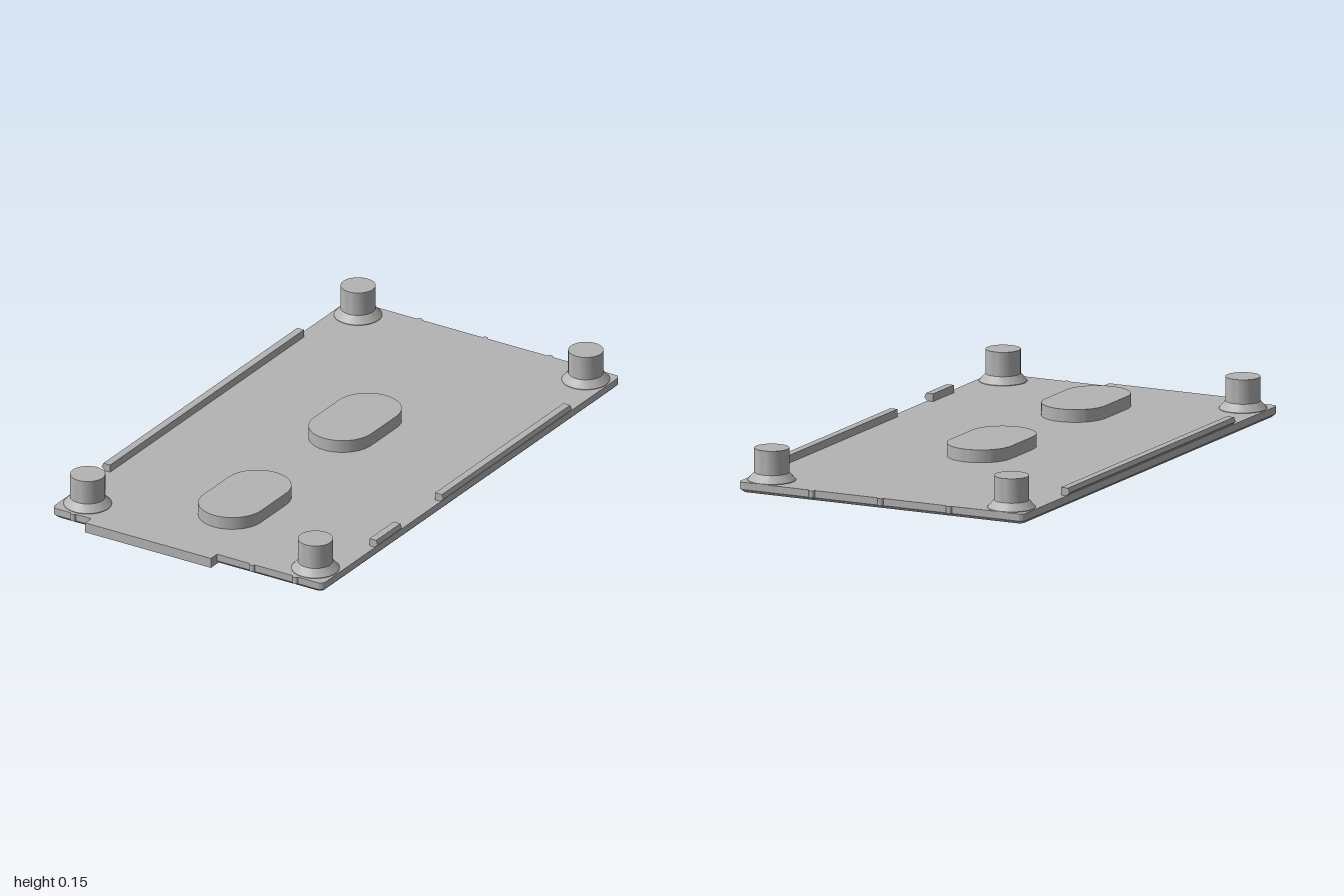
import * as THREE from 'three';
import { toCreasedNormals } from 'three/addons/utils/BufferGeometryUtils.js';

const PLATE_TOP = 0.037;
const CHAMFER = 0.011;

// Extrude an outline drawn in (x, -z) upward from y0 to y1
function slab(shape, y0, y1, steps = 1) {
  const g = new THREE.ExtrudeGeometry(shape, { depth: y1 - y0, steps, bevelEnabled: false, curveSegments: 20 });
  g.rotateX(-Math.PI / 2);
  g.translate(0, y0, 0);
  return g;
}

function roundedRect(x0, z0, x1, z1, r) {
  const s = new THREE.Shape();
  const b = -z1, t = -z0;
  s.absarc(x1 - r, t - r, r, 0, Math.PI / 2);
  s.absarc(x0 + r, t - r, r, Math.PI / 2, Math.PI);
  s.absarc(x0 + r, b + r, r, Math.PI, Math.PI * 1.5);
  s.absarc(x1 - r, b + r, r, Math.PI * 1.5, Math.PI * 2);
  s.closePath();
  return s;
}

// Stadium outline centred on z
function oval(z, halfWidth, halfLength) {
  const s = new THREE.Shape();
  const k = halfLength - halfWidth;
  s.absarc(0, -z + k, halfWidth, 0, Math.PI);
  s.absarc(0, -z - k, halfWidth, Math.PI, Math.PI * 2);
  s.closePath();
  return s;
}

// Round opening toward the front with a narrow slot toward the back
function keyhole(z) {
  const R = 0.088, w = 0.042, yc = -z - 0.075, ys = -z + 0.09;
  const a = Math.asin(w / R);
  const p = new THREE.Path();
  p.absarc(0, yc, R, Math.PI / 2 + a, Math.PI * 2.5 - a);
  p.lineTo(w, ys);
  p.absarc(0, ys, w, 0, Math.PI);
  p.closePath();
  return p;
}

export function createModel() {
  const model = new THREE.Group();
  model.name = 'mountingCover';
  const grey = new THREE.MeshStandardMaterial({ color: 0xb4b4b4 });
  grey.name = 'plainGrey';
  const add = (name, geometry, x = 0, y = 0, z = 0) => {
    const m = new THREE.Mesh(toCreasedNormals(geometry, 0.5), grey);
    m.name = name;
    m.position.set(x, y, z);
    model.add(m);
    return m;
  };
  const bosses = [-0.14, 0.582];

  // Base plate with keyholes and a chamfered lower edge
  const outline = roundedRect(-0.565, -0.99, 0.565, 0.96, 0.02);
  bosses.forEach((z) => outline.holes.push(keyhole(z)));
  const plate = slab(outline, 0, PLATE_TOP, 2);
  const p = plate.attributes.position;
  for (let i = 0; i < p.count; i++) {
    const x = p.getX(i), y = p.getY(i), z = p.getZ(i) + 0.015;
    if (y > 0.01 && y < 0.03) p.setY(i, CHAMFER);
    if (y < 0.001 && (Math.abs(x) > 0.5 || Math.abs(z) > 0.9)) {
      p.setX(i, x * (1 - CHAMFER / 0.565));
      p.setZ(i, z * (1 - CHAMFER / 0.975) - 0.015);
    }
  }
  add('basePlate', plate);

  // Front tab
  add('frontTab', new THREE.BoxGeometry(0.525, PLATE_TOP, 0.05), -0.1375, PLATE_TOP / 2, 0.975);

  // Hollow oval bosses over the keyholes, each with a closed top
  bosses.forEach((z) => {
    const wall = oval(z, 0.12, 0.202);
    wall.holes.push(keyhole(z));
    add('bossWall', slab(wall, PLATE_TOP, 0.068));
    add('bossTop', slab(oval(z, 0.12, 0.202), 0.068, 0.083));
  });

  // Corner posts on flared feet
  const profile = [[0, 0.03], [0.085, 0.03], [0.085, 0.039], [0.062, 0.065], [0.062, 0.153], [0, 0.153]]
    .map(([r, y]) => new THREE.Vector2(r, y));
  for (const x of [-0.475, 0.475]) {
    for (const z of [-0.905, 0.865]) add('cornerPost', new THREE.LatheGeometry(profile, 40), x, 0, z);
  }

  // Snap ribs along the sides: side, back end, front end
  for (const [side, z0, z1] of [[-1, -0.655, 0.615], [1, -0.655, 0.185], [1, 0.457, 0.615]]) {
    const pts = [[0.541, 0.035], [0.56, 0.035], [0.576, 0.049], [0.569, 0.065], [0.541, 0.065]];
    const s = new THREE.Shape(pts.map(([x, y]) => new THREE.Vector2(side * x, y)));
    add('snapRib', new THREE.ExtrudeGeometry(s, { depth: z1 - z0, bevelEnabled: false }), 0, 0, z0);
  }

  // Small locating bumps on the end edges
  const bumpHeight = PLATE_TOP - CHAMFER;
  const bump = (x, z) => add('edgeBump',
    new THREE.CylinderGeometry(0.012, 0.012, bumpHeight, 16), x, CHAMFER + bumpHeight / 2, z);
  [-0.272, 0, 0.272].forEach((x) => bump(x, -0.988));
  [-0.475, 0.272, 0.452].forEach((x) => bump(x, 0.957));

  return model;
}
